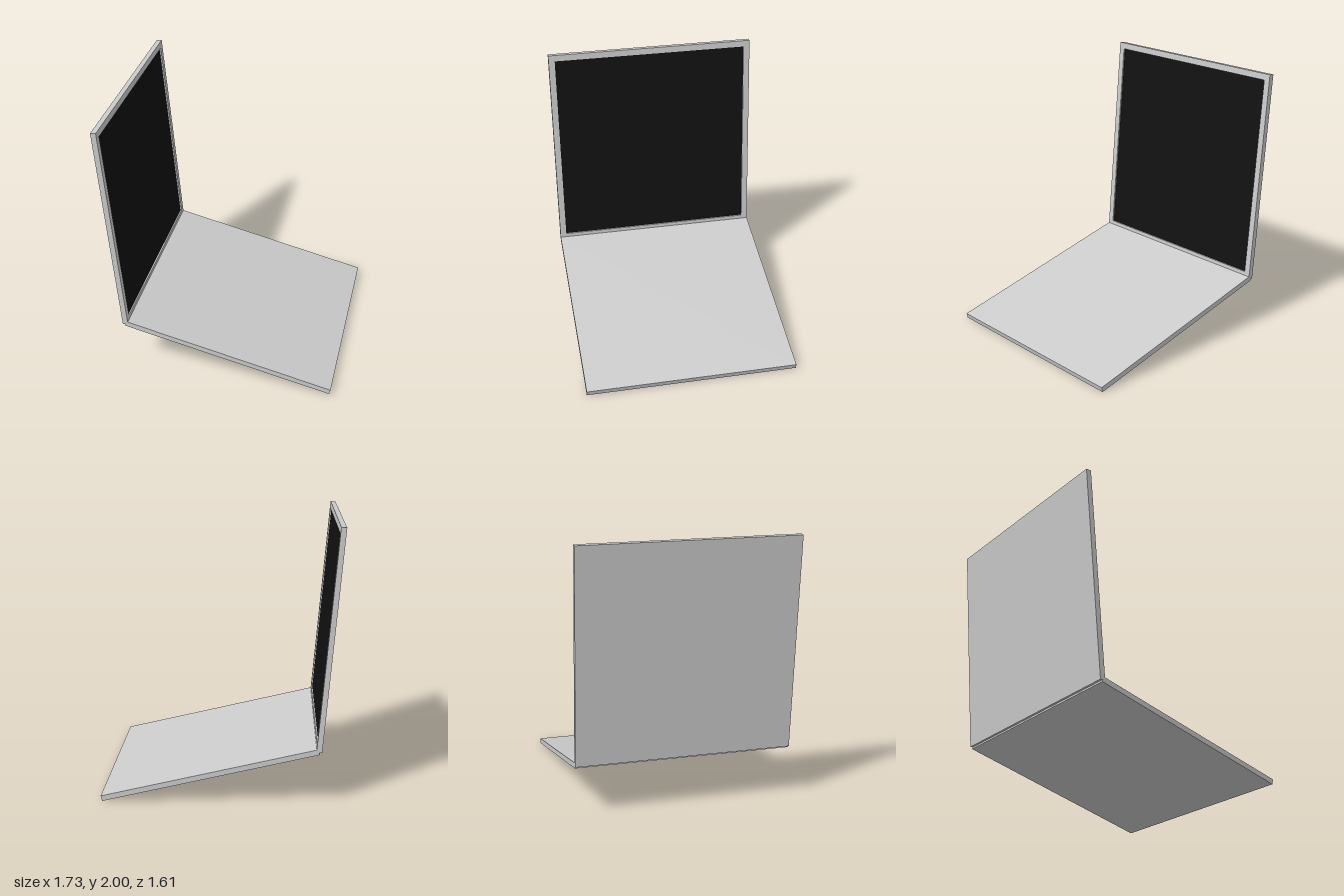
import * as THREE from 'three';

const SIDE = 1.61;      // both leaves are square slabs
const THICK = 0.04;
const MARGIN = 0.048;   // width of the lid's raised rim
const RECESS = 0.012;   // depth of the dark panel below the rim

const grey = new THREE.MeshStandardMaterial({ color: 0xcccccc });
const black = new THREE.MeshStandardMaterial({ color: 0x111111 });

function addPart(parent, name, geometry, material, x, y) {
  const mesh = new THREE.Mesh(geometry, material);
  mesh.name = name;
  mesh.position.set(x, y, 0);
  parent.add(mesh);
  return mesh;
}

// Square outline centred on the origin
function squarePoints(size) {
  const h = size / 2;
  return [[-h, -h], [h, -h], [h, h], [-h, h]].map(([x, y]) => new THREE.Vector2(x, y));
}

export function createModel() {
  const model = new THREE.Group();
  model.name = 'openFoldingCase';

  // Sloping base leaf, its origin at the lower free edge
  const base = new THREE.Group();
  base.name = 'base';
  base.position.set(0.853, 0, 0);
  base.rotation.z = THREE.MathUtils.degToRad(-13.6);
  addPart(base, 'baseSlab', new THREE.BoxGeometry(SIDE, THICK, SIDE), grey, -SIDE / 2, THICK / 2);
  model.add(base);

  // Upright lid leaf, its origin at the lower back edge
  const lid = new THREE.Group();
  lid.name = 'lid';
  lid.position.set(-0.728, 0.392, 0);
  lid.rotation.z = THREE.MathUtils.degToRad(4.8);
  model.add(lid);

  const backing = THICK - RECESS;
  addPart(lid, 'lidBack', new THREE.BoxGeometry(backing, SIDE, SIDE), grey, backing / 2, SIDE / 2);

  // Raised rim around the recess
  const outline = new THREE.Shape(squarePoints(SIDE));
  const inner = SIDE - 2 * MARGIN;
  outline.holes.push(new THREE.Path(squarePoints(inner).reverse()));
  const rim = new THREE.ExtrudeGeometry(outline, { depth: RECESS, bevelEnabled: false });
  rim.rotateY(Math.PI / 2);
  addPart(lid, 'lidRim', rim, grey, backing, SIDE / 2);

  // Dark panel lying in the recess
  const panel = new THREE.PlaneGeometry(inner, inner).rotateY(Math.PI / 2);
  addPart(lid, 'darkPanel', panel, black, backing + 0.001, SIDE / 2);

  return model;
}
